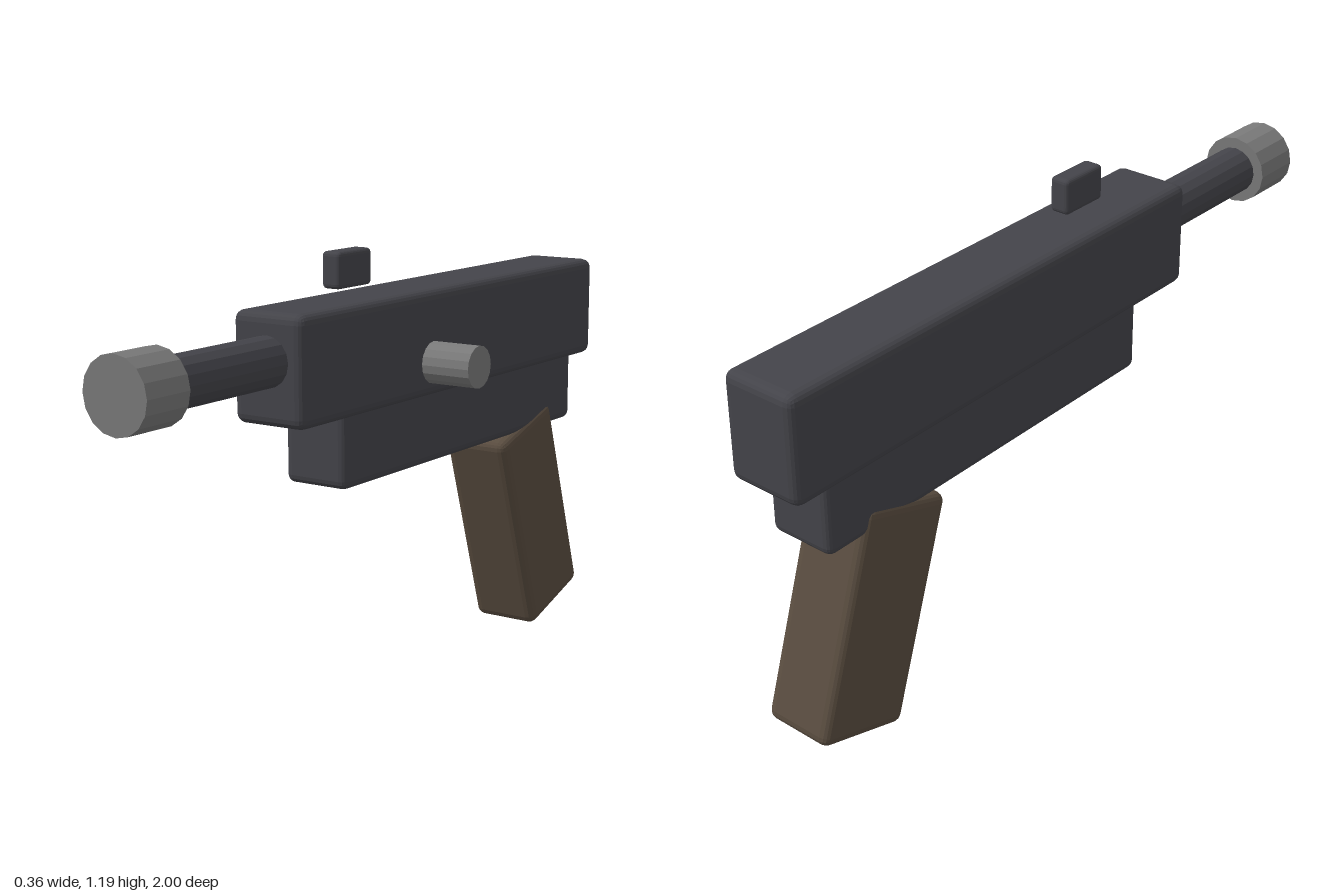
import * as THREE from 'three';
import { RoundedBoxGeometry } from 'three/addons/geometries/RoundedBoxGeometry.js';

const CX = -0.07; // centre line of the body
const BARREL_Y = 0.95;

const mat = (color) => new THREE.MeshStandardMaterial({ color, flatShading: true });

export function createModel() {
  const model = new THREE.Group();
  const dark = mat(0x44444a);
  const steel = mat(0x7a7a7a);
  const brown = mat(0x5a4d40);

  const add = (name, geometry, material, x, y, z) => {
    const mesh = new THREE.Mesh(geometry, material);
    mesh.name = name;
    mesh.position.set(x, y, z);
    model.add(mesh);
    return mesh;
  };
  const block = (name, size, radius, material, y, z) =>
    add(name, new RoundedBoxGeometry(...size, 2, radius), material, CX, y, z);
  const rod = (radius, length) => new THREE.CylinderGeometry(radius, radius, length, 16);

  // Body blocks
  block('receiver', [0.216, 0.284, 1.456], 0.026, dark, 0.928, -0.27);
  block('lowerReceiver', [0.19, 0.24, 1.166], 0.022, dark, 0.72, -0.315);
  block('sight', [0.057, 0.095, 0.145], 0.012, dark, 1.145, 0.122);

  // Grip, raked backwards
  block('grip', [0.202, 0.62, 0.285], 0.026, brown, 0.332, -0.73).rotation.x = 0.315;

  // Barrel and muzzle along z
  add('barrel', rod(0.065, 0.56), dark, CX, BARREL_Y, 0.64).rotation.x = Math.PI / 2;
  add('muzzle', rod(0.095, 0.145), steel, CX, BARREL_Y, 0.9275).rotation.x = Math.PI / 2;

  // Knob on the left side
  add('sideKnob', rod(0.057, 0.19), steel, 0.085, 0.878, -0.12).rotation.z = Math.PI / 2;

  return model;
}
